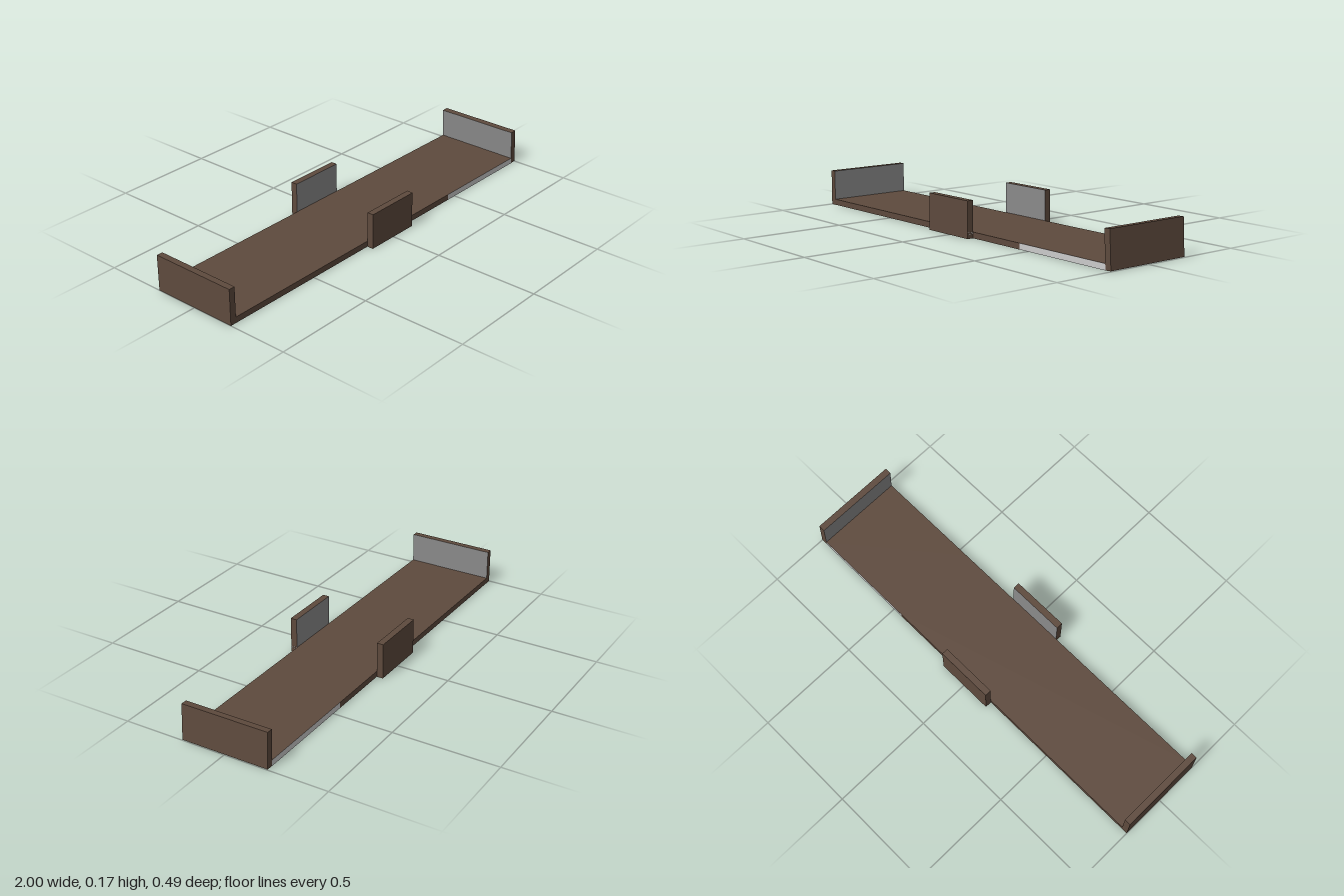
import * as THREE from 'three';

export function createModel() {
  const group = new THREE.Group();
  const mat = (name, color) => {
    const m = new THREE.MeshStandardMaterial({ color });
    m.name = name;
    return m;
  };
  const brown = mat('dark brown', 0x5e4a3d);
  const grey = mat('inner grey', 0x8a8a8a);
  const pale = mat('pale grey', 0xcccccc);

  // Box from its limits; face materials run +x, -x, +y, -y, +z, -z.
  function box(name, [x0, x1], [y0, y1], [z0, z1], faces = {}) {
    const mats = ['px', 'nx', 'py', 'ny', 'pz', 'nz'].map((f) => faces[f] || brown);
    const mesh = new THREE.Mesh(new THREE.BoxGeometry(x1 - x0, y1 - y0, z1 - z0), mats);
    mesh.position.set((x0 + x1) / 2, (y0 + y1) / 2, (z0 + z1) / 2);
    mesh.name = name;
    group.add(mesh);
    return mesh;
  }

  const W = 0.212, H = 0.171, T = 0.031;

  // Floor, with a section that is pale on its sides and underside
  box('floor', [-0.97, 0.448], [0, 0.028], [-W, W]);
  box('paleFloorSection', [0.448, 0.967], [0, 0.028], [-W, W], { ny: pale, pz: pale, nz: pale });

  // End walls: one upright, one leaning slightly inward
  box('rightEndWall', [-1, -0.97], [0, H], [-W, W], { px: grey });
  const leaning = box('leftEndWall', [0.963, 0.994], [0.001, H], [-W, W], { nx: grey });
  leaning.rotation.z = 0.055;

  // Raised plates at the middle of both long sides
  box('frontPlate', [-0.145, 0.133], [0, H], [W, W + T], { nz: grey });
  box('backPlate', [-0.145, 0.133], [0, H], [-W - T, -W], { pz: grey });

  // Fine pale lines on the edge of the front plate
  for (const y of [0.021, 0.0285]) {
    box('edgeLine', [0.133, 0.134], [y - 0.0008, y + 0.0008], [W, W + T], { px: pale });
  }
  return group;
}
